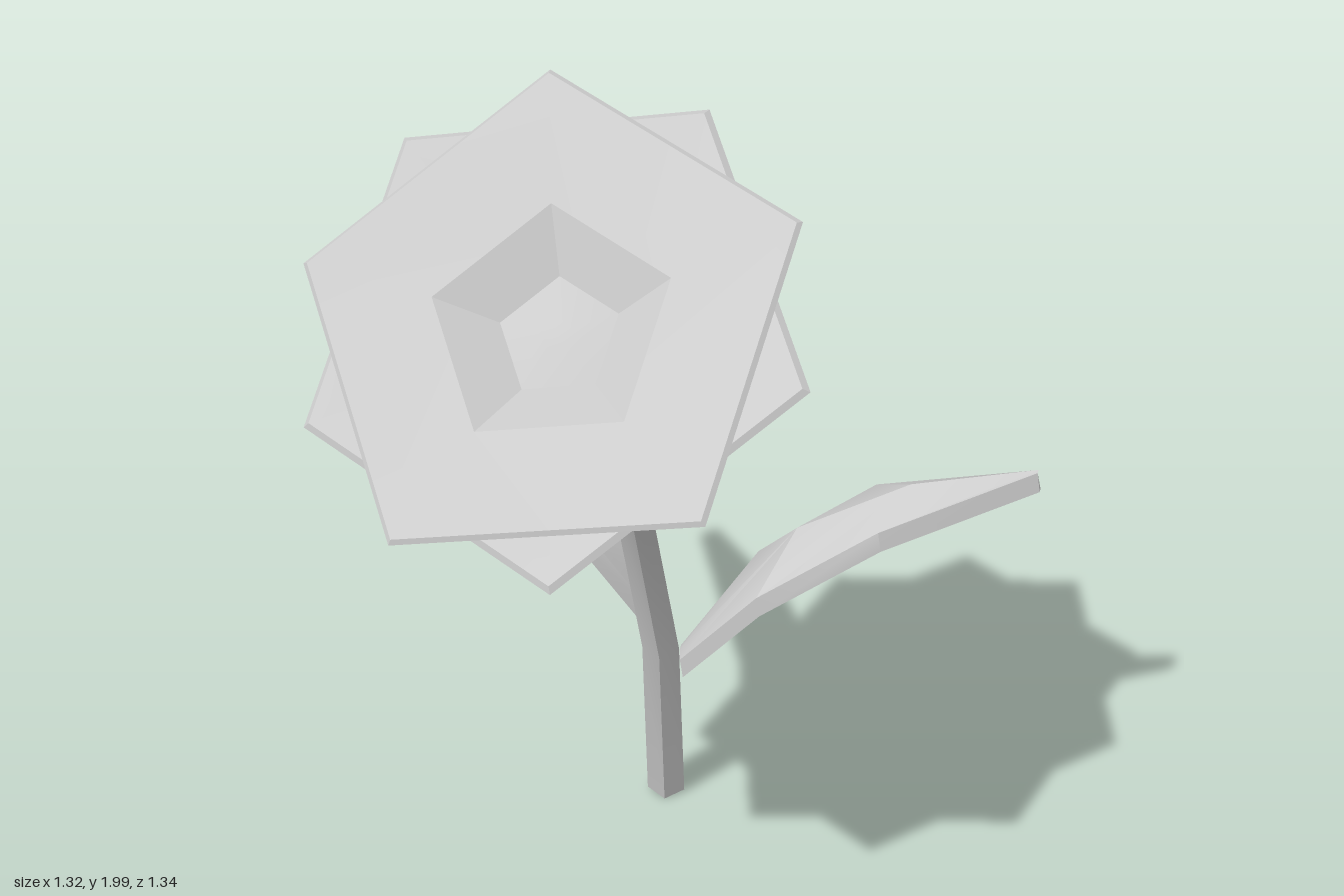
import * as THREE from 'three';
import { toCreasedNormals } from 'three/addons/utils/BufferGeometryUtils.js';

// Closed skin over a list of cross-section loops (arrays of Vector3)
function loft(rows, crease) {
  const n = rows[0].length, last = (rows.length - 1) * n, index = [];
  for (let i = 0; i < rows.length - 1; i++) {
    for (let j = 0; j < n; j++) {
      const k = (j + 1) % n;
      const a = i * n + j, b = i * n + k, c = b + n, d = a + n;
      index.push(a, d, c, a, c, b);
    }
  }
  for (let j = 1; j < n - 1; j++) {
    index.push(0, j, j + 1, last, last + j + 1, last + j);
  }
  const g = new THREE.BufferGeometry().setFromPoints(rows.flat());
  g.setIndex(index);
  return toCreasedNormals(g, crease);
}

// Thick leaf: each row is edge, midrib, edge; the underside is offset by `under`
function leafGeometry(rows, under) {
  const d = new THREE.Vector3(...under);
  return loft(rows.map((row) => {
    const top = row.map((p) => new THREE.Vector3(...p));
    const bottom = top.map((p) => p.clone().add(d)).reverse();
    return [...top, ...bottom];
  }), 0.7);
}

// Five-sided dish from a profile of [radius, height]
function dishGeometry(profile, turn) {
  const pts = profile.map(([r, h]) => new THREE.Vector2(r, h));
  return toCreasedNormals(new THREE.LatheGeometry(pts, 5, turn), 0.45);
}

export function createModel() {
  const model = new THREE.Group();
  model.name = 'flower';
  const grey = new THREE.MeshStandardMaterial({ color: 0xcccccc });
  grey.name = 'light grey';
  const add = (parent, name, geometry) => {
    const mesh = new THREE.Mesh(geometry, grey);
    mesh.name = name;
    parent.add(mesh);
  };

  // Stem: five-sided, bending forward at two joints
  const path = [[-0.095, 0.012, -0.475], [-0.06, 0.5, -0.36], [-0.03, 1.1, -0.12], [0.008, 1.56, 0.215]]
    .map((p) => new THREE.Vector3(...p));
  const radii = [0.044, 0.042, 0.039, 0.033];
  add(model, 'stem', loft(path.map((p, i) => {
    const t = path[Math.min(i + 1, 3)].clone().sub(path[Math.max(i - 1, 0)]).normalize();
    const v = new THREE.Vector3(1, 0, 0).cross(t).normalize();
    const u = t.clone().cross(v);
    return Array.from({ length: 5 }, (_, k) => {
      const a = k * Math.PI * 0.4;
      return p.clone().addScaledVector(u, radii[i] * Math.cos(a)).addScaledVector(v, radii[i] * Math.sin(a));
    });
  }), 0.9));

  // Leaves, from stem to tip
  add(model, 'leftLeaf', leafGeometry([
    [[-0.02, 0.46, -0.37], [-0.03, 0.47, -0.39], [-0.04, 0.46, -0.42]],
    [[0.16, 0.69, -0.355], [0.20, 0.81, -0.47], [0.09, 0.68, -0.53]],
    [[0.38, 0.85, -0.47], [0.41, 0.92, -0.57], [0.32, 0.87, -0.61]],
    [[0.65, 0.96, -0.665], [0.65, 0.965, -0.67], [0.645, 0.96, -0.675]],
  ], [0.008, -0.045, 0]));
  add(model, 'rightLeaf', leafGeometry([
    [[-0.07, 0.60, -0.37], [-0.06, 0.61, -0.35], [-0.07, 0.60, -0.33]],
    [[-0.18, 0.89, -0.40], [-0.145, 0.92, -0.35], [-0.22, 0.90, -0.215]],
    [[-0.37, 1.13, -0.385], [-0.34, 1.15, -0.34], [-0.40, 1.11, -0.25]],
    [[-0.645, 1.315, -0.405], [-0.645, 1.32, -0.40], [-0.645, 1.315, -0.39]],
  ], [-0.015, -0.045, 0]));

  // Flower head, tilted to face forward and up
  const head = new THREE.Group();
  head.name = 'flowerHead';
  const y = new THREE.Vector3(0.06, 0.74, 0.67).normalize();
  const x = y.clone().cross(new THREE.Vector3(-0.464, 0.018, 0.028)).normalize();
  const z = x.clone().cross(y);
  head.quaternion.setFromRotationMatrix(new THREE.Matrix4().makeBasis(x, y, z));
  head.position.set(0.024, 1.682, 0.322);
  model.add(head);

  // Front petals with a sunken centre and small bud
  add(head, 'frontPetals', dishGeometry([
    [0, -0.105], [0.115, -0.105], [0.23, -0.05], [0.465, -0.024], [0.48, -0.008],
    [0.47, 0], [0.23, -0.025], [0.115, -0.088], [0.03, -0.07], [0, -0.07],
  ], 0));
  // Back petals turned half a step, narrowing to the stem
  add(head, 'backPetals', dishGeometry([
    [0, -0.172], [0.04, -0.172], [0.23, -0.085], [0.465, -0.062], [0.483, -0.046],
    [0.47, -0.036], [0.23, -0.062], [0.115, -0.115], [0, -0.115],
  ], Math.PI / 5));

  return model;
}
